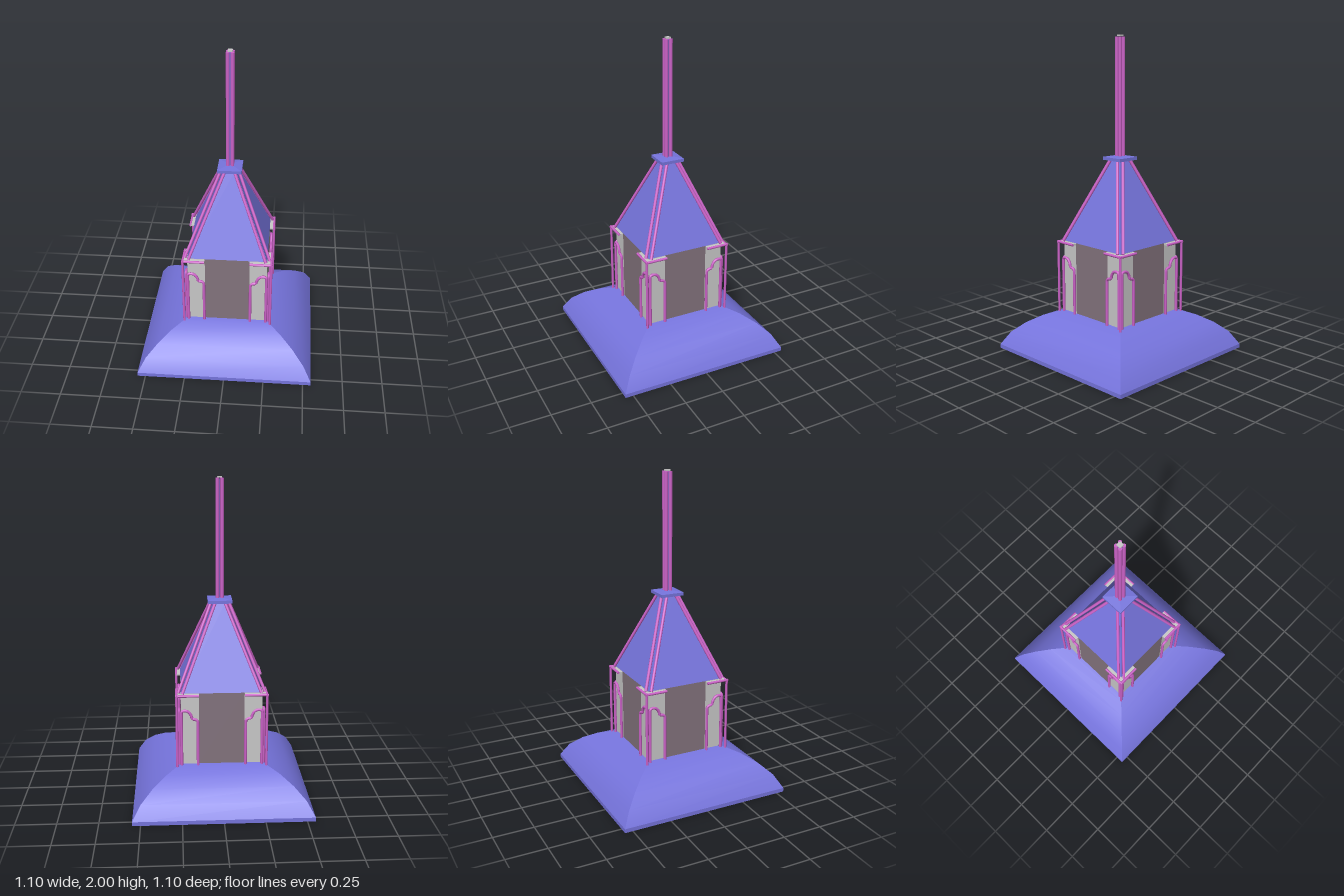
import * as THREE from 'three';

const mat = (name, color, side = THREE.FrontSide) => {
  const m = new THREE.MeshStandardMaterial({ color, side });
  m.name = name;
  return m;
};

// Four-sided skin: profile is a list of [half width, height], smooth along the profile, sharp at the hips
function squareSkin(profile) {
  const pos = [], idx = [];
  for (let k = 0; k < 4; k++) {
    const c = Math.cos(k * Math.PI / 2), s = Math.sin(k * Math.PI / 2), start = pos.length / 3;
    profile.forEach(([h, y], i) => {
      for (const x of [-h, h]) pos.push(x * c + h * s, y, h * c - x * s);
      if (i) {
        const a = start + (i - 1) * 2;
        idx.push(a, a + 1, a + 3, a, a + 3, a + 2);
      }
    });
  }
  const g = new THREE.BufferGeometry();
  g.setAttribute('position', new THREE.Float32BufferAttribute(pos, 3));
  g.setIndex(idx);
  g.computeVertexNormals();
  return g;
}

// Straight round bar between two points
function bar(a, b, r) {
  const p = new THREE.Vector3(...a), q = new THREE.Vector3(...b), d = q.clone().sub(p);
  const g = new THREE.CylinderGeometry(r, r, d.length(), 10);
  g.applyQuaternion(new THREE.Quaternion().setFromUnitVectors(new THREE.Vector3(0, 1, 0), d.normalize()));
  const m = p.add(q).multiplyScalar(0.5);
  return g.translate(m.x, m.y, m.z);
}

export function createModel() {
  const model = new THREE.Group();
  model.name = 'tower';
  const blue = mat('roof blue', 0x7674dd, THREE.DoubleSide);
  const pink = mat('trim pink', 0xcc62c8);
  const grey = mat('wall grey', 0xc8c8c8, THREE.DoubleSide);
  const brown = mat('panel brown', 0x83737d, THREE.DoubleSide);
  const add = (parent, name, geo, material) => {
    const m = new THREE.Mesh(geo, material);
    m.name = name;
    parent.add(m);
    return m;
  };

  // Flared lower roof, hollow underneath
  add(model, 'lowerRoofRim', squareSkin([[0.55, 0], [0.55, 0.025]]), blue);
  add(model, 'lowerRoof', squareSkin([[0.55, 0.025], [0.5, 0.11], [0.43, 0.175],
    [0.35, 0.225], [0.28, 0.252], [0.25, 0.26]]), blue);

  // Steep upper roof and its cap
  add(model, 'upperRoof', squareSkin([[0.25, 0.72], [0.035, 1.24]]), blue);
  add(model, 'capUnderside', squareSkin([[0, 1.236], [0.075, 1.236]]), blue);
  add(model, 'capEdge', squareSkin([[0.075, 1.236], [0.075, 1.255]]), blue);
  add(model, 'capTop', squareSkin([[0.075, 1.255], [0, 1.265]]), blue);

  // Arched trim outline, from the panel edge over to the corner
  const archPoints = [[0.147, 0.25], [0.147, 0.535], [0.152, 0.55], [0.165, 0.556], [0.182, 0.558],
    [0.187, 0.58], [0.199, 0.601], [0.217, 0.612], [0.235, 0.612], [0.245, 0.607], [0.248, 0.595], [0.248, 0.25]];

  for (let k = 0; k < 4; k++) {
    const side = new THREE.Group();
    side.name = 'wallSide';
    side.rotation.y = k * Math.PI / 2;
    model.add(side);

    add(side, 'centrePanel', new THREE.PlaneGeometry(0.28, 0.46).translate(0, 0.49, 0.25), brown);
    for (const s of [-1, 1]) {
      add(side, 'cornerWall', new THREE.PlaneGeometry(0.11, 0.46).translate(s * 0.195, 0.49, 0.25), grey);
      add(side, 'cornice', new THREE.BoxGeometry(0.13, 0.01, 0.025).translate(s * 0.205, 0.712, 0.2625), grey);
      add(side, 'corniceRail', bar([s * 0.14, 0.712, 0.276], [s * 0.284, 0.712, 0.276], 0.008), pink);
      const path = new THREE.CatmullRomCurve3(
        archPoints.map(([x, y]) => new THREE.Vector3(s * x, y, 0.261)), false, 'catmullrom', 0.15);
      add(side, 'archTrim', new THREE.TubeGeometry(path, 70, 0.009, 8), pink);
      // Paired ridge bars either side of each hip
      const o = 0.012;
      add(side, 'ridgeBar', bar([s * (0.253 - o), 0.722, 0.253 + o], [s * (0.041 - o), 1.24, 0.041 + o], 0.0095), pink);
    }
    // Corner post
    add(side, 'cornerPost', bar([0.276, 0.25, 0.276], [0.276, 0.712, 0.276], 0.008), pink);
    // One of the four clustered spire rods
    add(side, 'spireRod', bar([0.014, 1.25, 0.014], [0.014, 1.99, 0.014], 0.0115), pink);
  }

  // Spire core and tip
  add(model, 'spireCore', new THREE.BoxGeometry(0.026, 0.73, 0.026).translate(0, 1.62, 0), blue);
  add(model, 'spireTip', new THREE.BoxGeometry(0.028, 0.009, 0.028).translate(0, 1.9955, 0), grey);
  return model;
}
